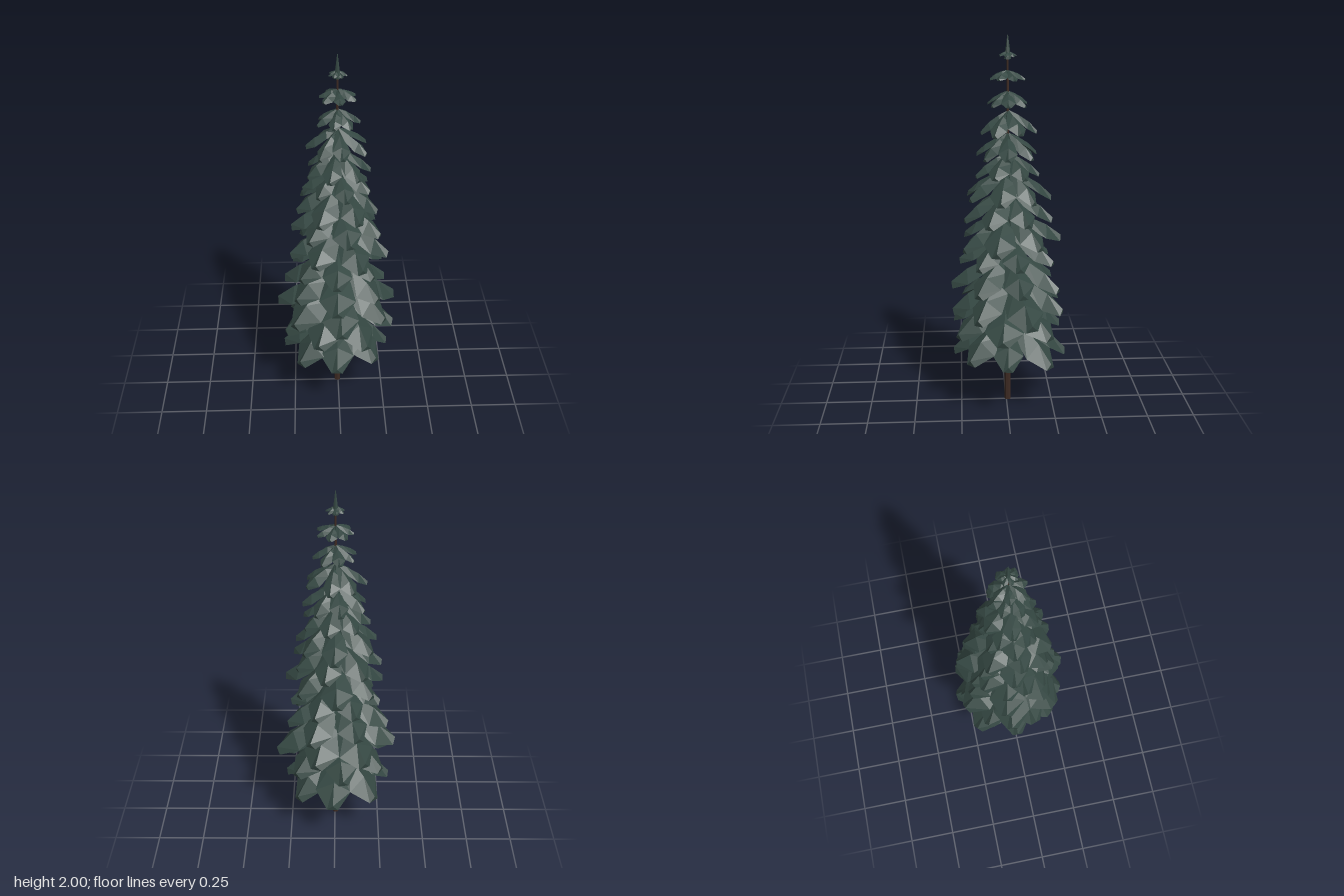
import * as THREE from 'three';
import { mergeGeometries } from 'three/addons/utils/BufferGeometryUtils.js';

// Tiers of boughs: [height at the trunk, reach, drop at the tip, first bough's angle in degrees, count]
const TIERS = [
  [1.92, 0.048, 0.022, 10, 7], [1.825, 0.102, 0.04, 30, 7], [1.72, 0.114, 0.065, 0, 7],
  [1.62, 0.16, 0.105, 180, 7], [1.505, 0.17, 0.115, 0, 7], [1.4, 0.18, 0.11, 25, 7],
  [1.32, 0.23, 0.145, -90, 7], [1.205, 0.245, 0.145, 180, 7], [1.085, 0.285, 0.155, -90, 7],
  [0.975, 0.26, 0.15, 90, 7], [0.865, 0.305, 0.165, 90, 7], [0.755, 0.34, 0.19, -17, 7],
  [0.635, 0.312, 0.185, 7, 7], [0.515, 0.315, 0.21, -90, 8],
];

// Bough sections: [share of reach, half width, ridge drop, fold depth]
const SECTIONS = [
  [0.02, 0.06, 0.0, 0.17],
  [0.35, 0.2, 0.22, 0.17],
  [0.72, 0.29, 0.56, 0.18],
  [1.0, 0.09, 0.97, 0.1],
];

function seeded(seed) {
  return () => {
    seed = (seed * 16807) % 2147483647;
    return seed / 2147483647;
  };
}

// A drooping bough growing along +x, with a ridged top, plain underside and blunt tip
function boughGeometry(reach, drop, widthScale) {
  const rings = SECTIONS.map(([t, w, ridge, fold]) => {
    const x = t * reach, y = -ridge * drop, z = w * reach * widthScale;
    const edge = y - fold * reach;
    return [[x, y, 0], [x * 0.98, edge, z], [x * 0.98, edge, -z]];
  });
  const pos = [];
  for (let i = 0; i < rings.length - 1; i++) {
    for (let k = 0; k < 3; k++) {
      const n = (k + 1) % 3;
      const [a, b, c, d] = [rings[i][k], rings[i][n], rings[i + 1][n], rings[i + 1][k]];
      pos.push(...a, ...b, ...c, ...a, ...c, ...d);
    }
  }
  const [ridge, left, right] = rings[rings.length - 1];
  pos.push(...ridge, ...right, ...left);
  const geometry = new THREE.BufferGeometry();
  geometry.setAttribute('position', new THREE.Float32BufferAttribute(pos, 3));
  geometry.computeVertexNormals();
  return geometry;
}

export function createModel() {
  const tree = new THREE.Group();
  tree.name = 'conifer';
  const needles = new THREE.MeshStandardMaterial({ color: 0x344742, flatShading: true, side: THREE.DoubleSide });
  needles.name = 'needle green';
  const bark = new THREE.MeshStandardMaterial({ color: 0x3d2a22, flatShading: true });
  bark.name = 'bark brown';
  const random = seeded(4217);

  const add = (name, geometry, material, y) => {
    const mesh = new THREE.Mesh(geometry, material);
    mesh.name = name;
    mesh.position.set(-0.004, y, -0.008);
    tree.add(mesh);
  };

  // Tapered trunk and pointed leader
  add('trunk', new THREE.CylinderGeometry(0.005, 0.018, 1.92, 7), bark, 0.96);
  add('leader', new THREE.CylinderGeometry(0.002, 0.018, 0.12, 6), needles, 1.94);

  // Boughs, tier by tier, each turned and varied a little
  TIERS.forEach(([y, reach, drop, angle, count], tier) => {
    const boughs = [];
    for (let i = 0; i < count; i++) {
      const length = reach * (i === 0 ? 1 : 0.88 + 0.13 * random());
      const bough = boughGeometry(length, drop * (0.93 + 0.14 * random()), 1 + 0.15 * random());
      bough.rotateX((random() - 0.5) * 0.15);
      bough.rotateY(-THREE.MathUtils.degToRad(angle) - (i / count) * Math.PI * 2);
      bough.translate(0, (random() - 0.5) * 0.06 * reach, 0);
      boughs.push(bough);
    }
    add(`boughTier${tier + 1}`, mergeGeometries(boughs), needles, y);
  });
  return tree;
}
